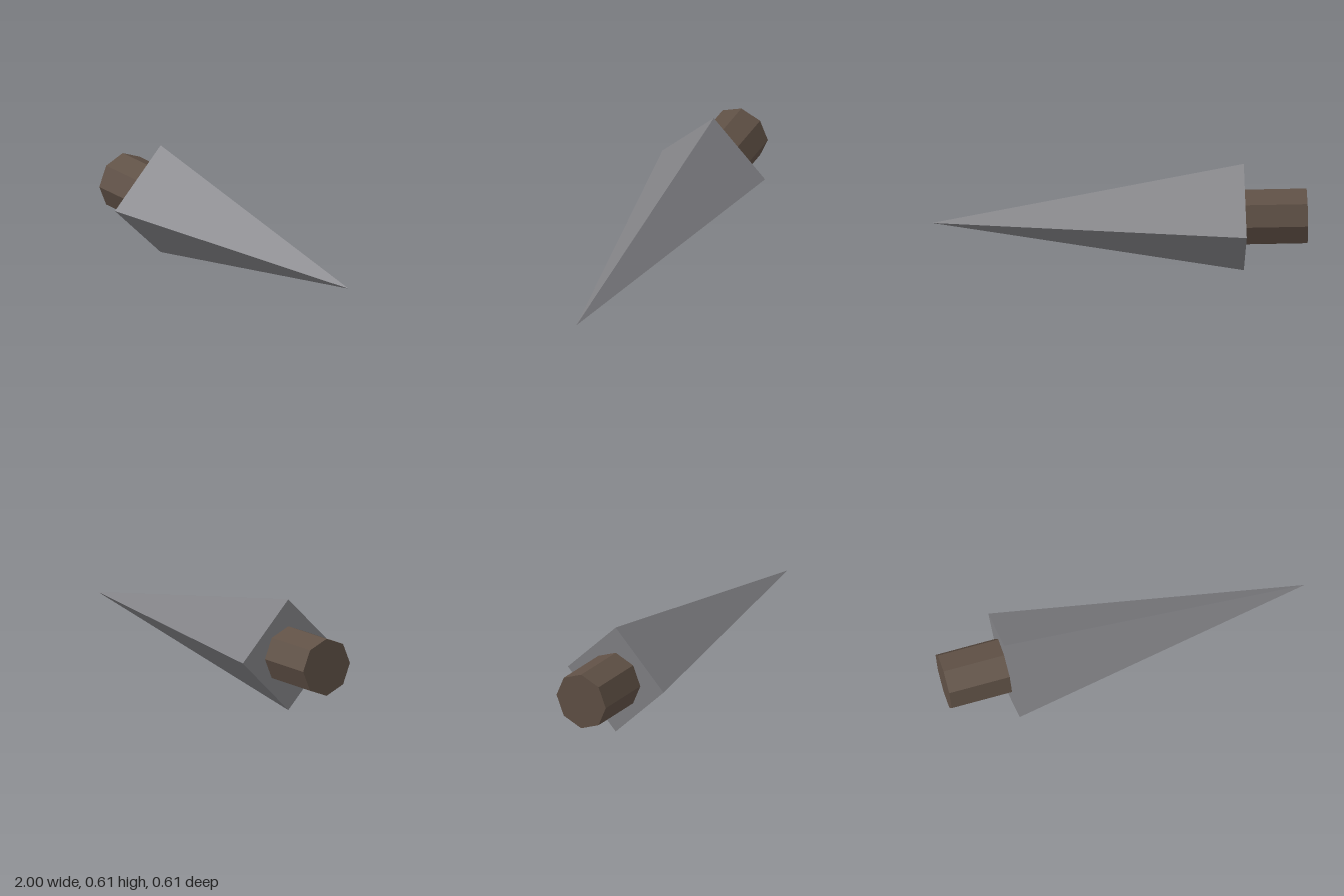
import * as THREE from 'three';

export function createModel() {
  const group = new THREE.Group();
  const steel = new THREE.MeshStandardMaterial({ color: 0x808084, flatShading: true });
  steel.name = 'steel';
  const wood = new THREE.MeshStandardMaterial({ color: 0x5f5045, flatShading: true });
  wood.name = 'darkWood';

  const axisY = 0.305;
  const baseX = -0.665;

  // Lays a y-aligned solid along +x, spanning x0 to x1
  function addAlongX(name, geometry, material, x0, x1) {
    geometry.rotateZ(-Math.PI / 2);
    const mesh = new THREE.Mesh(geometry, material);
    mesh.name = name;
    mesh.position.set((x0 + x1) / 2, axisY, 0);
    group.add(mesh);
  }

  // Four-sided pointed head with a closed base
  addAlongX('spikeHead', new THREE.ConeGeometry(0.305, 1 - baseX, 4), steel, baseX, 1);

  // Eight-sided shaft stub behind the head
  addAlongX('shaft', new THREE.CylinderGeometry(0.157, 0.157, baseX + 1, 8), wood, -1, baseX);

  return group;
}
